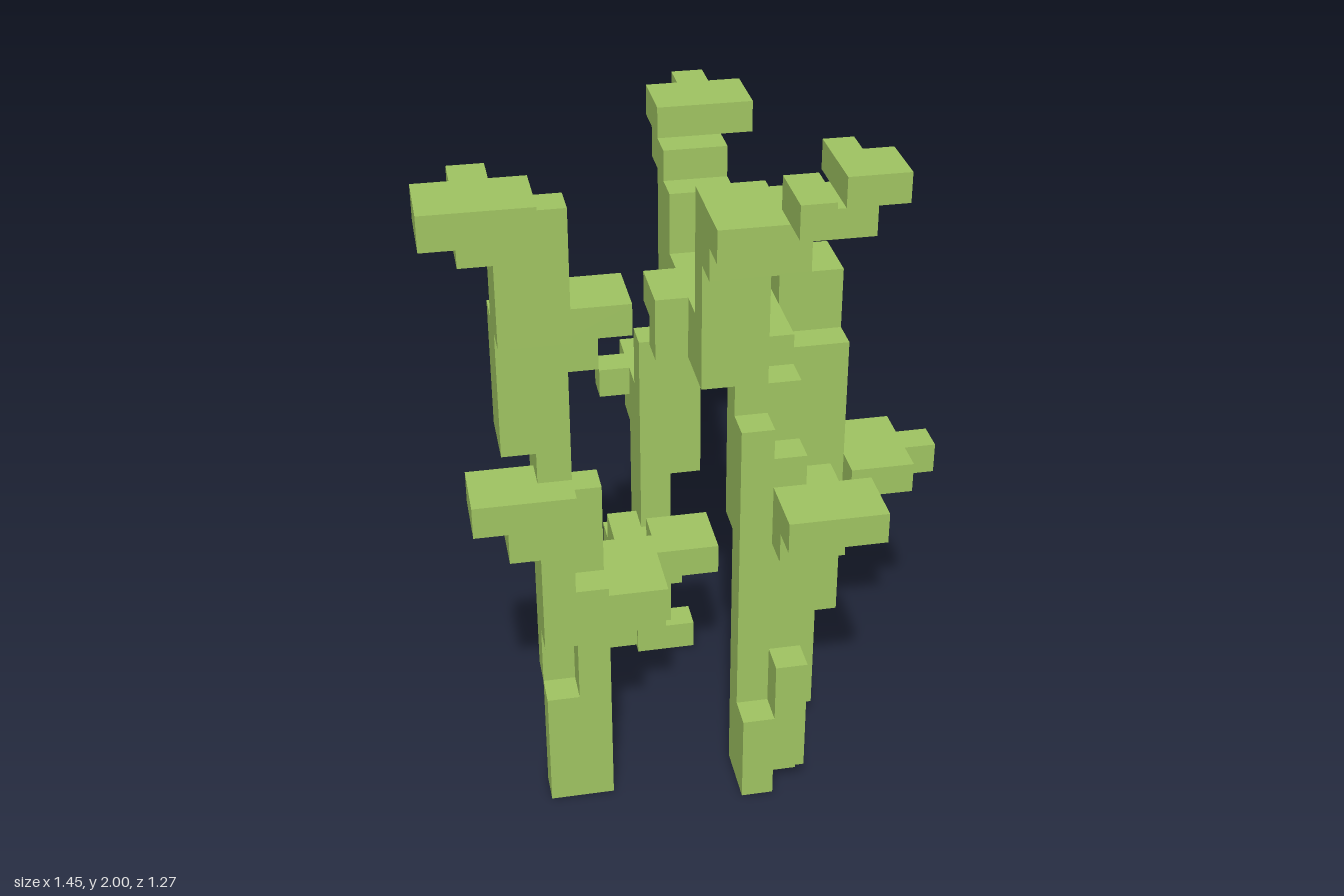
import * as THREE from 'three';

const U = 1 / 11; // edge length of one block

export function createModel() {
  const green = new THREE.MeshStandardMaterial({ color: 0x9fc361 });
  green.name = 'cactus green';
  const model = new THREE.Group();
  model.name = 'blockyPlant';

  // Each box is [x0, x1, y0, y1, z0, z1] in blocks
  const addPart = (name, boxes) => {
    const part = new THREE.Group();
    part.name = name;
    for (const [x0, x1, y0, y1, z0, z1] of boxes) {
      const geo = new THREE.BoxGeometry((x1 - x0) * U, (y1 - y0) * U, (z1 - z0) * U);
      geo.translate((x0 + x1) / 2 * U, (y0 + y1) / 2 * U, (z0 + z1) / 2 * U);
      const mesh = new THREE.Mesh(geo, green);
      mesh.name = name + 'Block';
      part.add(mesh);
    }
    model.add(part);
  };

  // Stem on the -x side, leaning outwards
  addPart('rightStem', [
    [-4, -3, 0, 8, 2, 4], [-5, -4, 0, 4, 3, 4], [-5, -4, 4, 8, 2, 3], [-5, -4, 6, 8, 3, 4],
    [-5, -4, 8, 13, 2, 4], [-4, -3, 8, 11, 2, 3],
    [-6, -4, 13, 17, 2, 4], [-6, -4, 17, 20, 3, 5],
  ]);
  addPart('rightStemTopLeaf', [
    [-7, -5, 20, 21, 4, 6], [-5, -4, 20, 21, 4, 5],
    [-8, -5, 21, 22, 5, 7], [-7, -6, 21, 22, 4, 5],
  ]);
  addPart('rightStemOuterLeaf', [[-6, -4, 10, 11, 3, 5], [-7, -4, 11, 12, 3, 5]]);
  addPart('rightStemInnerLeaf', [[-4, -3, 15, 16, 2, 3], [-5, -2, 16, 17, 1, 2], [-4, -2, 16, 17, 2, 3]]);
  addPart('rightStemLowLeaf', [[-3, -2, 5, 6, 1, 3], [-3, -1, 6, 7, 0, 3]]);

  // Front stem
  addPart('frontStem', [
    [1, 3, 0, 9, 3, 4], [1, 2, 0, 3, 4, 5], [2, 3, 1, 5, 4, 5],
    [1, 3, 9, 14, 2, 3], [1, 2, 9, 13, 3, 4], [2, 3, 9, 12, 3, 4],
    [0, 2, 14, 18, 2, 3],
  ]);
  addPart('frontStemTopLeaf', [
    [0, 2, 18, 19, 2, 4], [0, 2, 19, 20, 2, 5], [2, 3, 19, 20, 3, 4], [2, 3, 20, 21, 4, 6],
  ]);
  addPart('frontStemLeaf', [[2, 4, 9, 10, 3, 5], [2, 5, 10, 11, 4, 6], [3, 4, 10, 11, 3, 4]]);

  // Back stem
  addPart('backStem', [
    [-1, 1, 0, 1, -4, -3], [-1, 0, 1, 8, -4, -3], [-1, 0, 2, 8, -3, -2],
    [-1, 1, 8, 13, -3, -2], [-1, 1, 8, 9, -4, -3],
    [0, 2, 13, 14, -3, -1], [0, 2, 14, 18, -4, -2],
  ]);
  addPart('backStemTopLeaf', [[0, 2, 18, 19, -5, -3], [0, 3, 19, 20, -6, -4], [1, 2, 19, 20, -7, -6]]);
  addPart('backStemLeaf', [[-1, 0, 9, 10, -5, -3], [-1, 1, 10, 11, -6, -3], [-2, -1, 10, 11, -5, -4]]);
  addPart('backStemInnerLeaf', [
    [-2, -1, 4, 5, -4, -2], [-2, -1, 5, 6, -3, 1], [-2, -1, 4, 5, 0, 1],
    [-1, 0, 5, 6, -2, 0], [-1, 1, 6, 7, -1, 1],
  ]);

  // Stem on the +x side
  addPart('leftStem', [
    [2, 4, 0, 1, 0, 1], [3, 4, 1, 7, 0, 2], [3, 5, 4, 9, 0, 1],
    [3, 5, 9, 14, -1, 1], [3, 5, 13, 16, -2, 0], [3, 4, 16, 18, -2, 0],
  ]);
  addPart('leftStemTopLeaf', [[4, 6, 17, 18, -2, 0], [5, 7, 18, 19, -2, 0], [5, 6, 18, 19, -3, -2]]);
  addPart('leftStemOuterLeaf', [[5, 6, 8, 9, 0, 1], [5, 7, 9, 10, -1, 2], [7, 8, 9, 10, 0, 1]]);
  addPart('leftStemInnerLeaf', [
    [-1, 3, 14, 15, 0, 1], [1, 3, 14, 15, 1, 2], [2, 3, 14, 15, -1, 0], [2, 3, 13, 14, -2, -1],
    [0, 2, 15, 16, -2, 1], [-1, 0, 15, 16, -1, 1], [0, 1, 14, 16, 1, 2],
  ]);

  return model;
}
